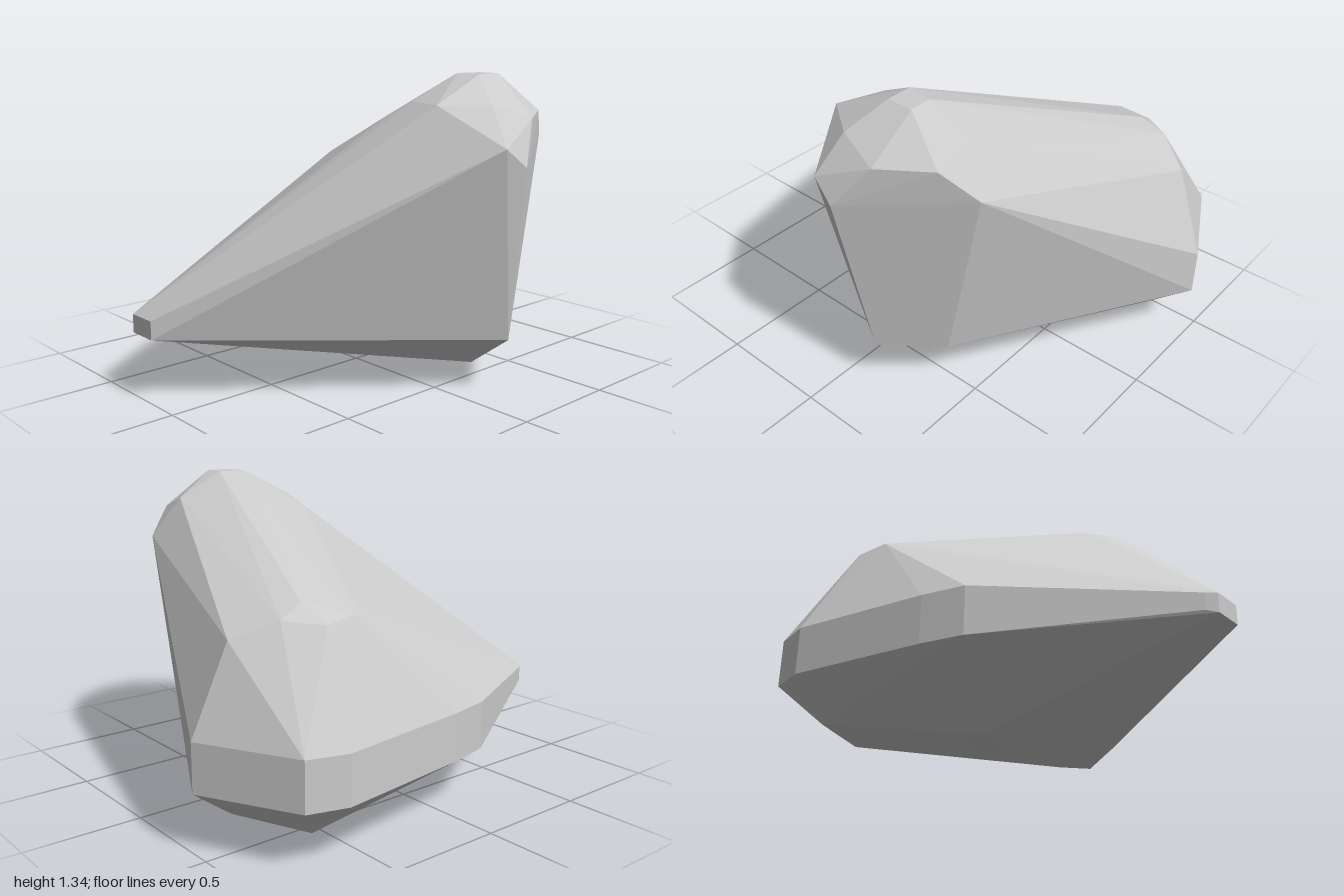
import * as THREE from 'three';
import { ConvexGeometry } from 'three/addons/geometries/ConvexGeometry.js';

// Corner groups of a faceted boulder, each corner as [x, y, z]
const corners = {
  base: [
    [-0.37, 0, -0.04], [-0.18, 0, -0.04], [-0.18, 0, -0.2], [-0.37, 0, -0.2],
    [0.56, 0.09, -0.17], [0.45, 0.09, -0.27], [-0.37, 0.09, -0.8], [-0.69, 0.08, -0.65],
  ],
  frontTip: [
    [-0.28, 0.36, 1], [-0.14, 0.36, 1], [-0.28, 0.28, 1], [-0.14, 0.28, 1],
    [-0.31, 0.36, 0.96], [-0.31, 0.29, 0.96],
  ],
  rightFoot: [[0.76, 0.24, -0.17], [0.57, 0.24, -0.41]],
  leftShoulder: [
    [-0.64, 0.88, -0.41], [-0.58, 0.89, -0.35], [-0.66, 0.86, -0.55],
    [-0.54, 0.93, -0.58], [-0.56, 0.88, -0.69], [-0.45, 0.81, -0.85],
  ],
  peak: [
    [0.47, 1.34, -0.14], [0.59, 1.34, -0.14], [0.59, 1.34, -0.26], [0.49, 1.34, -0.26],
    [0.61, 1.23, 0.13], [0.41, 1.23, 0.06], [0.29, 1.17, 0.08], [0.74, 1.23, -0.05],
    [0.5, 1.23, -0.47], [0.66, 1.18, -0.45], [0.79, 1.17, -0.24], [0.57, 1.06, -0.58],
    [0.86, 1.07, 0], [0.88, 0.99, -0.1],
  ],
};

// Upright band round the left and back: each [x, z] has a low and a high corner
const band = [[-0.76, 0.19], [-0.8, 0], [-0.88, -0.62], [-0.83, -0.79], [-0.42, -1]];

export function createModel() {
  const group = new THREE.Group();
  group.name = 'boulder';

  const points = Object.values(corners).flat().map((p) => new THREE.Vector3(...p));
  for (const [x, z] of band) {
    for (const y of [0.24, 0.445]) points.push(new THREE.Vector3(x, y, z));
  }

  // Tight faceted skin over all corners
  const rock = new THREE.Mesh(
    new ConvexGeometry(points),
    new THREE.MeshStandardMaterial({ color: 0xcccccc, flatShading: true }),
  );
  rock.name = 'rock';
  group.add(rock);
  return group;
}
